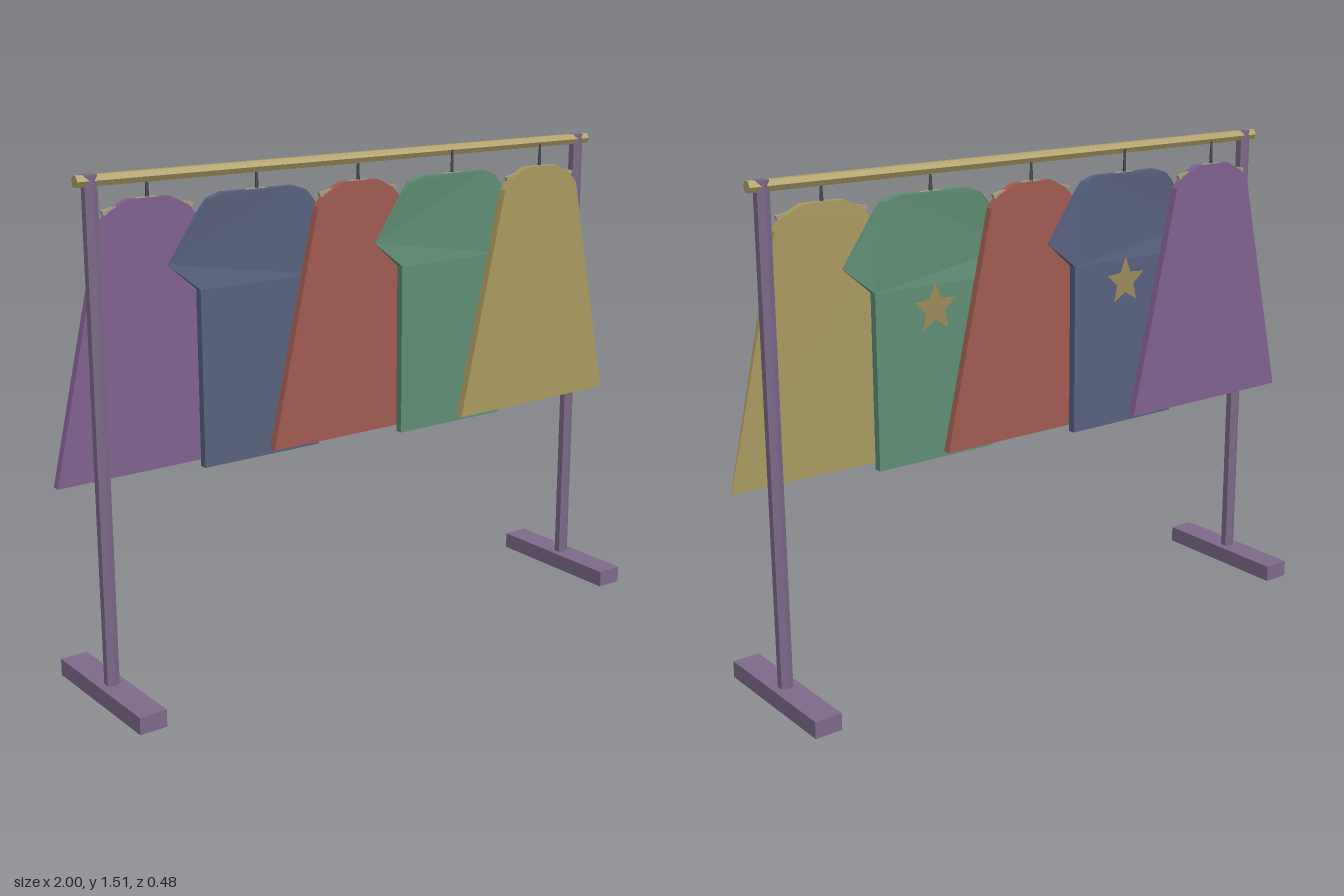
import * as THREE from 'three';

const mat = (color) => new THREE.MeshStandardMaterial({ color, flatShading: true });
const frameMat = mat(0x7d6a8a), railMat = mat(0xb0a068), hookMat = mat(0x45454f);
const starMat = mat(0x9c8a5a), hangerMat = mat(0xaaa07c);
const THICK = 0.024;

function add(parent, name, geometry, material, x = 0, y = 0, z = 0) {
  const mesh = new THREE.Mesh(geometry, material);
  mesh.name = name;
  mesh.position.set(x, y, z);
  parent.add(mesh);
  return mesh;
}

// Mirrors a right-hand outline (top to bottom) and extrudes it, centred on z = 0
function slab(half, depth) {
  const left = half.map(([x, y]) => [-x, y]).reverse();
  const shape = new THREE.Shape([...left, ...half].map(([x, y]) => new THREE.Vector2(x, y)));
  return new THREE.ExtrudeGeometry(shape, { depth, bevelEnabled: false }).translate(0, 0, -depth / 2);
}

// Flattens the slab to an edge wherever the test is true
function pinch(geometry, test) {
  const p = geometry.attributes.position;
  for (let i = 0; i < p.count; i++) if (test(p.getX(i), p.getY(i))) p.setZ(i, p.getZ(i) * 0.1);
  geometry.computeVertexNormals();
  return geometry;
}

const dressHalf = [[0.065, 1.425], [0.125, 1.395], [0.155, 1.36], [0.32, 0.645]];
const shirtHalf = [[0.12, 1.425], [0.165, 1.41], [0.187, 1.385], [0.3, 1.235], [0.203, 1.155], [0.203, 0.627]];
const hangerHalf = [[0.03, 1.427], [0.09, 1.41], [0.145, 1.4], [0.14, 1.387], [0.08, 1.39]];

function starShape(radius) {
  const pts = [];
  for (let i = 0; i < 10; i++) {
    const r = i % 2 ? radius * 0.45 : radius, a = Math.PI / 2 + i * Math.PI / 5;
    pts.push(new THREE.Vector2(r * Math.cos(a), r * Math.sin(a)));
  }
  return new THREE.Shape(pts);
}

export function createModel() {
  const rack = new THREE.Group();
  rack.name = 'clothesRack';

  // Stand: two posts on long feet, joined by the rail
  for (const side of [-1, 1]) {
    add(rack, 'foot', new THREE.BoxGeometry(0.085, 0.052, 0.476), frameMat, side * 0.89, 0.026, 0);
    add(rack, 'post', new THREE.CylinderGeometry(0.022, 0.022, 1.464, 6), frameMat, side * 0.89, 0.778, 0);
  }
  add(rack, 'rail', new THREE.CylinderGeometry(0.018, 0.018, 1.865, 6), railMat, 0, 1.494, 0)
    .rotation.z = Math.PI / 2;

  // Garments, each slightly in front of the one before
  const colors = [0x80608f, 0x58617e, 0xa05c52, 0x5f8d73, 0xaa9a60];
  colors.forEach((color, i) => {
    const isShirt = i % 2 === 1;
    const item = new THREE.Group();
    item.name = isShirt ? 'hangingShirt' : 'hangingDress';
    item.position.set((i - 2) * 0.34, 0, -0.068 + i * 0.03);
    rack.add(item);

    const body = slab(isShirt ? shirtHalf : dressHalf, THICK);
    if (isShirt) pinch(body, (x) => Math.abs(x) > 0.29); // thin sleeve ends
    else if (i === 4) pinch(body, (x, y) => x > 0.3 && y < 0.7); // thin outer hem corner
    add(item, isShirt ? 'shirt' : 'dress', body, mat(color));

    // Hanger with a tapering hook
    add(item, 'hanger', slab(hangerHalf, 0.01), hangerMat);
    add(item, 'hook', new THREE.CylinderGeometry(0.003, 0.006, 0.08, 6), hookMat, 0, 1.455, 0);

    // Star on the back of each shirt
    if (isShirt) {
      const star = new THREE.ExtrudeGeometry(starShape(0.077), { depth: 0.002, bevelEnabled: false });
      add(item, 'star', star, starMat, 0, 1.085, -THICK / 2 - 0.002);
    }
  });
  return rack;
}
